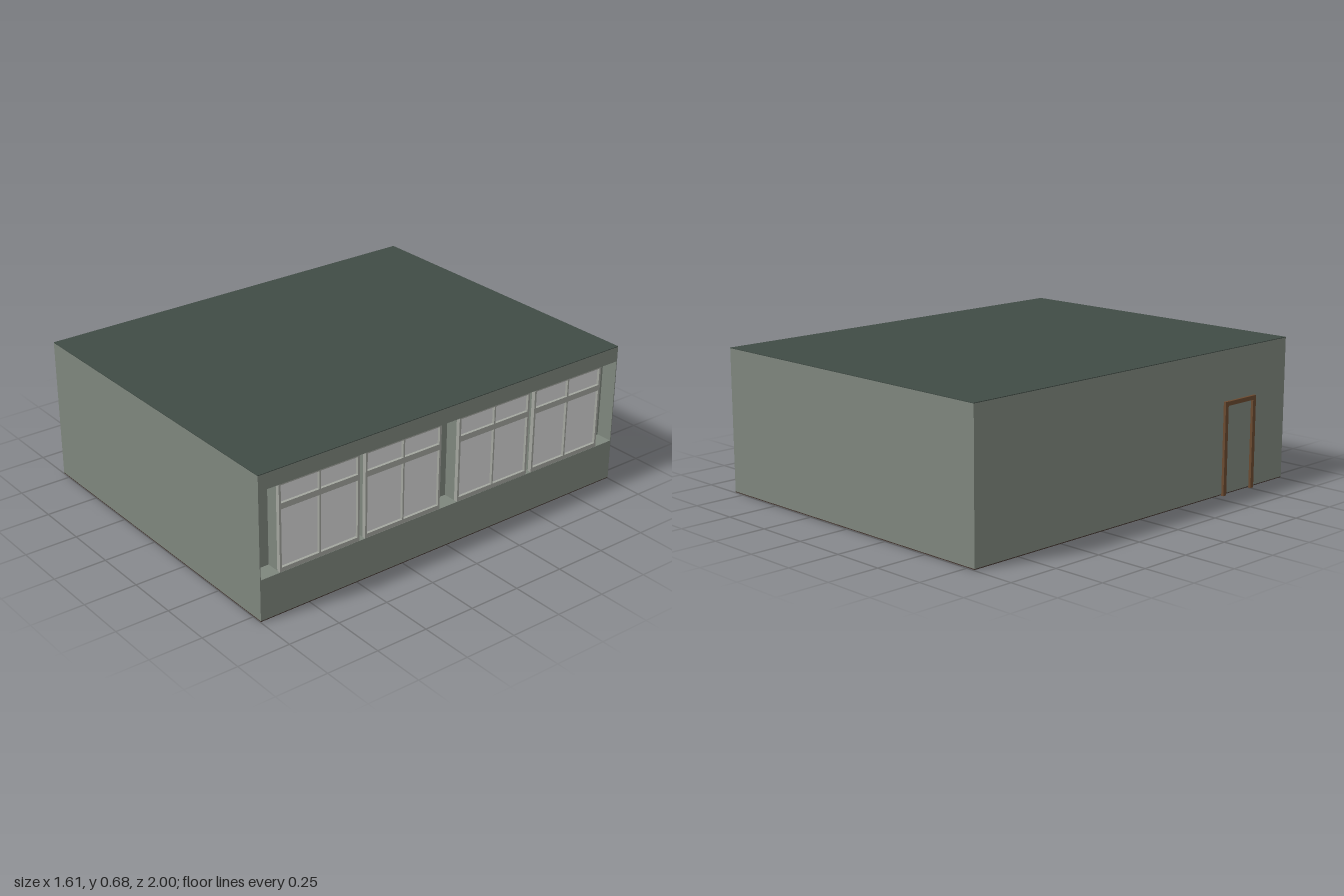
import * as THREE from 'three';

const mat = (name, color) => {
  const m = new THREE.MeshStandardMaterial({ color });
  m.name = name;
  return m;
};

export function createModel() {
  const room = new THREE.Group();
  room.name = 'room';
  const wall = mat('grey green wall', 0x7e867d);
  const roofMat = mat('dark green roof', 0x404b45);
  const floorMat = mat('dark brown floor', 0x443630);
  const frameMat = mat('grey window frame', 0xa3a69f);
  const glass = mat('pale glass', 0xd8d8d8);
  const wood = mat('brown wood', 0x6b4a30);

  // Box given by its lower and upper corners
  const box = (parent, name, material, x0, x1, y0, y1, z0, z1) => {
    const mesh = new THREE.Mesh(new THREE.BoxGeometry(x1 - x0, y1 - y0, z1 - z0), material);
    mesh.position.set((x0 + x1) / 2, (y0 + y1) / 2, (z0 + z1) / 2);
    mesh.name = name;
    parent.add(mesh);
    return mesh;
  };

  const L = -0.795, R = 0.805, H = 0.68;
  const sillY = 0.2, headY = 0.605, inner = R - 0.08;

  // Shell
  box(room, 'floor', floorMat, L, R, 0.003, 0.007, -1, 1);
  box(room, 'roof', roofMat, L, R, H - 0.003, H, -1, 1);
  box(room, 'frontWall', wall, L, R, 0.007, H - 0.003, 0.996, 1);
  box(room, 'backWall', wall, L, R, 0.007, H - 0.003, -1, -0.996);
  box(room, 'doorWall', wall, L, L + 0.02, 0.007, H - 0.003, -0.996, 0.996);

  // Window wall: parapet, lintel and recessed backing between the windows
  box(room, 'parapet', wall, inner, R, 0.007, sillY, -0.996, 0.996);
  box(room, 'lintel', wall, inner, R, headY, H - 0.003, -0.996, 0.996);
  box(room, 'recessedPiers', wall, inner - 0.02, inner, sillY, headY, -0.996, 0.996);

  // Each window: deep box, frame bars and four panes
  const addWindow = (z0, z1) => {
    const w = new THREE.Group();
    w.name = 'window';
    room.add(w);
    const mid = (z0 + z1) / 2, back = R - 0.014, e = 0.01;
    box(w, 'windowSurround', wall, inner, back - 0.006, sillY, headY, z0, z1);
    box(w, 'glassPanes', glass, back - 0.006, back, sillY, headY, z0 + 0.002, z1 - 0.002);
    const bar = (name, y0, y1, a, b) => box(w, name, frameMat, back - 0.006, R - 0.001, y0, y1, a, b);
    bar('sideFrame', sillY, headY, z0, z0 + e);
    bar('sideFrame', sillY, headY, z1 - e, z1);
    bar('bottomFrame', sillY, 0.22, z0 + e, z1 - e);
    bar('topFrame', headY - 0.006, headY, z0 + e, z1 - e);
    bar('transom', 0.49, 0.517, z0 + e, z1 - e);
    bar('lowerMullion', 0.22, 0.49, mid - 0.004, mid + 0.004);
    bar('upperMullion', 0.517, headY - 0.006, mid - 0.004, mid + 0.004);
  };
  [[0.49, 0.9], [0.05, 0.46], [-0.46, -0.05], [-0.9, -0.49]].forEach(([a, b]) => addWindow(a, b));

  // Door frame on the opposite wall
  const door = new THREE.Group();
  door.name = 'doorFrame';
  room.add(door);
  for (const z of [0.55, 0.75]) box(door, 'doorPost', wood, L - 0.013, L, 0, 0.44, z, z + 0.02);
  box(door, 'doorHead', wood, L - 0.013, L, 0.42, 0.44, 0.57, 0.75);

  return room;
}
